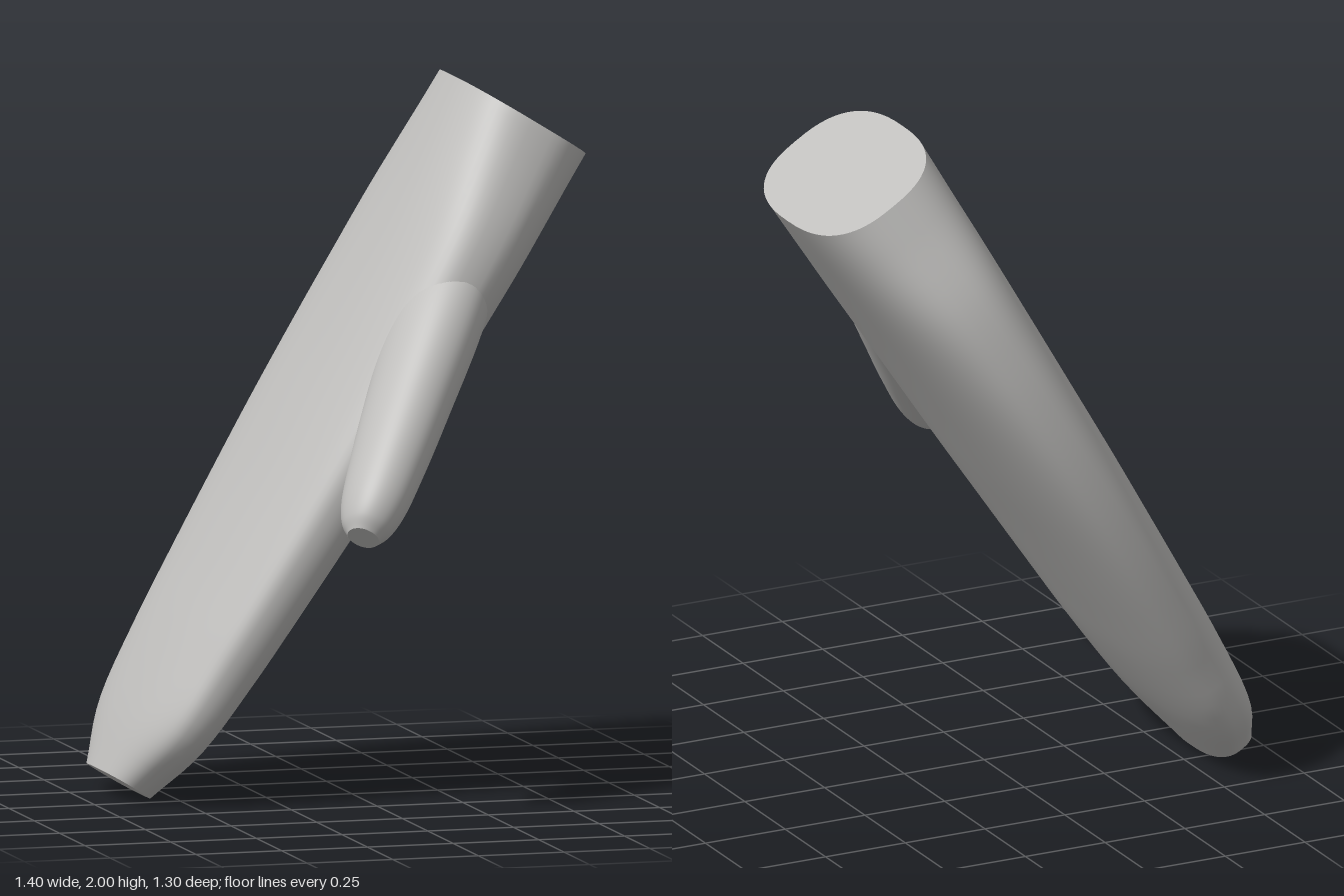
import * as THREE from 'three';

// Lofts superellipse sections [s, halfThickness(x), halfWidth(z)] along local y, with flat caps.
function loft(sections, power, rings = 48, sides = 64) {
  const spine = new THREE.CatmullRomCurve3(sections.map((p) => new THREE.Vector3(...p)), false, 'centripetal');
  const pos = [];
  const index = [];
  const round = (v) => Math.sign(v) * Math.pow(Math.abs(v), 2 / power);
  const addRing = (p) => {
    const start = pos.length / 3;
    for (let j = 0; j < sides; j++) {
      const a = (j / sides) * Math.PI * 2;
      pos.push(p.y * round(Math.cos(a)), p.x, p.z * round(Math.sin(a)));
    }
    return start;
  };
  // side wall
  for (let i = 0; i <= rings; i++) {
    const p = spine.getPoint(i / rings);
    const s = addRing(new THREE.Vector3(p.x, p.y, p.z));
    if (i === 0) continue;
    for (let j = 0; j < sides; j++) {
      const k = (j + 1) % sides;
      const a = s - sides + j, b = s - sides + k, c = s + k, d = s + j;
      index.push(a, d, b, b, d, c);
    }
  }
  // end caps with their own vertices, so the rims stay sharp
  for (const end of [0, 1]) {
    const p = spine.getPoint(end);
    const s = addRing(p);
    const centre = pos.length / 3;
    pos.push(0, p.x, 0);
    for (let j = 0; j < sides; j++) {
      const k = (j + 1) % sides;
      if (end) index.push(centre, s + k, s + j);
      else index.push(centre, s + j, s + k);
    }
  }
  const g = new THREE.BufferGeometry();
  g.setAttribute('position', new THREE.Float32BufferAttribute(pos, 3));
  g.setIndex(index);
  g.computeVertexNormals();
  return g;
}

export function createModel() {
  const model = new THREE.Group();
  model.name = 'mitten';
  const grey = new THREE.MeshStandardMaterial({ color: 0xc0bfbd });
  grey.name = 'light grey';

  // leaning frame: local y runs from the finger tip to the cuff
  const lean = new THREE.Group();
  lean.name = 'leaningMitten';
  lean.position.set(-0.635, 0.043, 0);
  lean.rotation.z = -0.5575;
  model.add(lean);

  // hand: narrow tip, broad palm, thicker cuff
  const hand = new THREE.Mesh(loft([
    [0, 0.077, 0.19],
    [0.18, 0.106, 0.355],
    [0.42, 0.125, 0.41],
    [0.65, 0.134, 0.445],
    [0.89, 0.143, 0.472],
    [1.12, 0.153, 0.486],
    [1.36, 0.163, 0.485],
    [1.6, 0.175, 0.466],
    [1.83, 0.189, 0.425],
    [2.05, 0.204, 0.345],
    [2.174, 0.212, 0.3],
  ], 2.6), grey);
  hand.name = 'hand';
  hand.position.z = -0.156;
  lean.add(hand);

  // thumb: grows from a small blunt tip into the side of the hand
  const thumb = new THREE.Mesh(loft([
    [0, 0.045, 0.045],
    [0.035, 0.068, 0.075],
    [0.1, 0.086, 0.102],
    [0.25, 0.1, 0.126],
    [0.45, 0.111, 0.145],
    [0.8, 0.122, 0.165],
    [1.0, 0.1, 0.13],
  ], 2.1), grey);
  thumb.name = 'thumb';
  thumb.position.set(0.005, 0.915, 0.61);
  thumb.rotation.x = -Math.atan2(0.55, 0.835);
  lean.add(thumb);

  return model;
}
